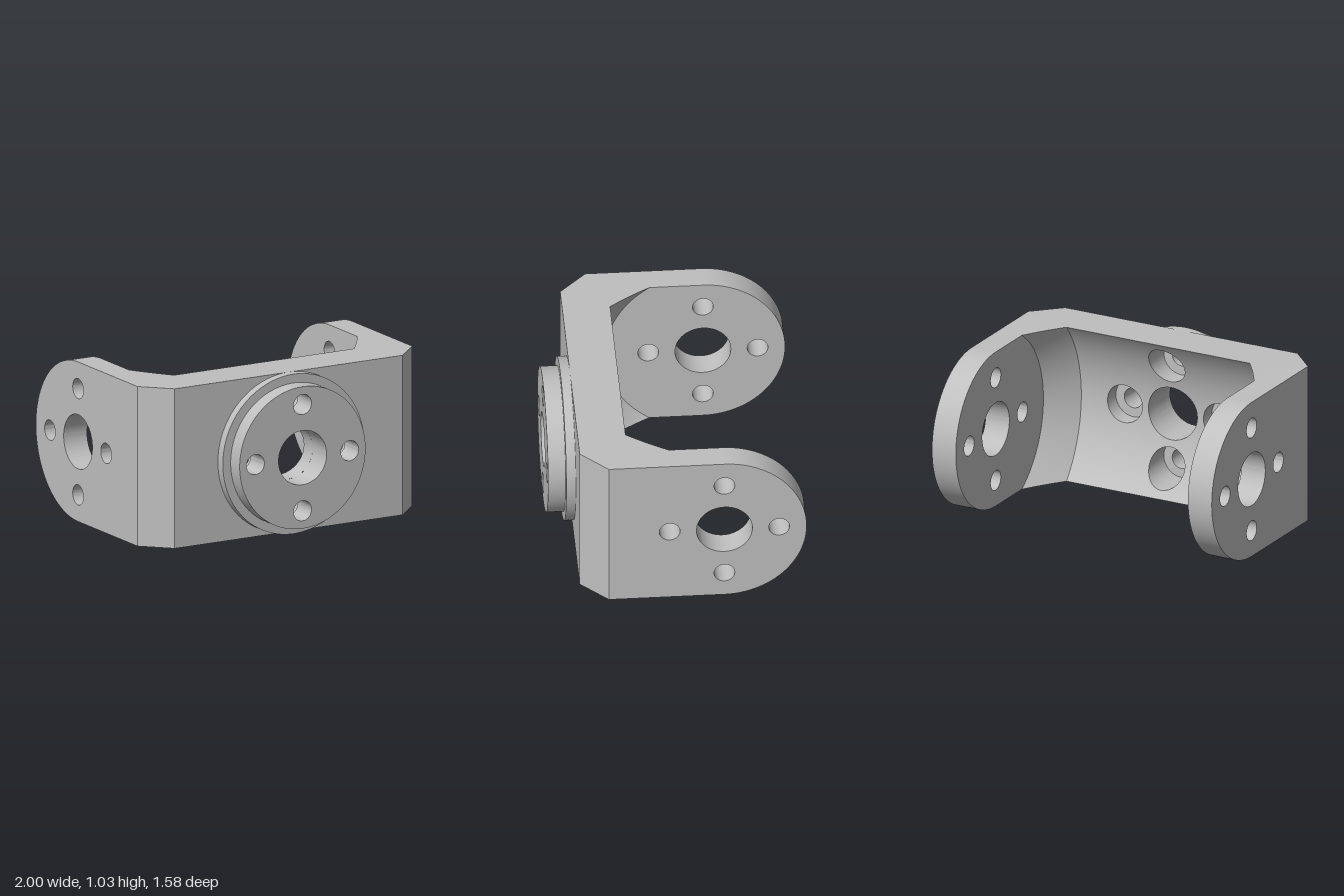
import * as THREE from 'three';
import { mergeGeometries, mergeVertices, toCreasedNormals } from 'three/addons/utils/BufferGeometryUtils.js';

// y is measured from mid-height H; the arms' pivot axis lies along x at z = PZ
const H = 0.515, PZ = -0.275, ARM = 0.83, WEB = 0.62, N = 12;
const R_WEB = 0.787, R_ARM = 0.614, X_CONE = 0.655;
const BIG = 0.175, SMALL = 0.065, BORE = 0.125, OFF = 0.343;

// inner scoop: a cylinder round the pivot axis with a cone at each end
const scoopZ = (x, y) => {
  const t = Math.max(0, (Math.abs(x) - X_CONE) / (ARM - X_CONE));
  const r = R_WEB + (R_ARM - R_WEB) * t;
  return PZ + Math.sqrt(r * r - y * y);
};

// grid surface from fn(u, v) -> [x, y, z], facing du x dv
function surface(fn, nu, nv) {
  const pos = [], idx = [];
  for (let j = 0; j <= nv; j++) for (let i = 0; i <= nu; i++) pos.push(...fn(i / nu, j / nv));
  for (let j = 0; j < nv; j++) for (let i = 0; i < nu; i++) {
    const a = j * (nu + 1) + i, d = a + nu + 1;
    idx.push(a, a + 1, d, a + 1, d + 1, d);
  }
  const g = new THREE.BufferGeometry();
  g.setAttribute('position', new THREE.Float32BufferAttribute(pos, 3));
  g.setIndex(idx);
  return g;
}

function smooth(list) {
  const g = mergeVertices(mergeGeometries(list));
  g.computeVertexNormals();
  return g;
}

const lerp = THREE.MathUtils.lerp;

// plain rectangular cell of the scoop
const cell = (x0, x1, y0, y1) => surface((u, v) => {
  const x = lerp(x0, x1, v), y = lerp(y0, y1, u);
  return [x, y, scoopZ(x, y)];
}, N, N);

// point on the cell's border (counterclockwise) and the hole point facing it
function rim(x0, x1, y0, y1, r, u) {
  const k = Math.round(u * 4 * N) % (4 * N), s = Math.floor(k / N), f = (k % N) / N;
  const c = [[x0, y0], [x1, y0], [x1, y1], [x0, y1]], p = c[s], q = c[(s + 1) % 4];
  const bx = lerp(p[0], q[0], f), by = lerp(p[1], q[1], f);
  const cx = (x0 + x1) / 2, cy = (y0 + y1) / 2, a = Math.atan2(by - cy, bx - cx);
  return { bx, by, hx: cx + r * Math.cos(a), hy: cy + r * Math.sin(a) };
}

// scoop cell pierced by a round hole
const holedCell = (x0, x1, y0, y1, r) => surface((u, v) => {
  const p = rim(x0, x1, y0, y1, r, u);
  const x = lerp(p.hx, p.bx, v), y = lerp(p.hy, p.by, v);
  return [x, y, scoopZ(x, y)];
}, 4 * N, 4);

// wall of that hole, up to the back of the flange
const holeWall = (x0, x1, y0, y1, r) => surface((u, v) => {
  const p = rim(x0, x1, y0, y1, r, u);
  return [p.hx, p.hy, lerp(WEB, scoopZ(p.hx, p.hy), v)];
}, 4 * N, 2);

// large centre hole with four small ones round it
function addHoles(shape, cx) {
  const hole = (x, y, r) => shape.holes.push(new THREE.Path().absarc(x, y, r, 0, Math.PI * 2, true));
  hole(cx, 0, BIG);
  for (const s of [-1, 1]) {
    hole(cx + s * OFF, 0, SMALL);
    hole(cx, s * OFF, SMALL);
  }
  return shape;
}

const extrude = (shape, depth) => toCreasedNormals(
  new THREE.ExtrudeGeometry(shape, { depth, bevelEnabled: false, curveSegments: 64 }), 0.5);

export function createModel() {
  const model = new THREE.Group();
  const body = new THREE.Group();
  body.name = 'bracket';
  body.position.y = H;
  model.add(body);

  const metal = new THREE.MeshStandardMaterial({ color: 0xbfbfbf });
  metal.name = 'greyMetal';
  const add = (name, geometry) => {
    const mesh = new THREE.Mesh(geometry, metal);
    mesh.name = name;
    body.add(mesh);
    return mesh;
  };

  // side arms with rounded ends and bolt holes
  const armShape = new THREE.Shape();
  armShape.moveTo(0.45, H);
  armShape.lineTo(PZ, H);
  armShape.absarc(PZ, 0, H, Math.PI / 2, Math.PI * 1.5, false);
  armShape.lineTo(0.45, -H);
  armShape.closePath();
  const armGeo = extrude(addHoles(armShape, PZ), 1 - ARM).rotateY(-Math.PI / 2);
  add('leftArm', armGeo).position.x = 1;
  add('rightArm', armGeo).position.x = -ARM;

  // bevelled outer corners
  for (const s of [-1, 1]) {
    const bevel = add(s > 0 ? 'leftCorner' : 'rightCorner', new THREE.PlaneGeometry(0.17 * Math.SQRT2, 2 * H));
    bevel.rotation.y = s * Math.PI / 4;
    bevel.position.set(s * (1 + ARM) / 2, 0, 0.535);
  }

  // web front face, open behind the flange
  const front = new THREE.Shape([[-ARM, -H], [ARM, -H], [ARM, H], [-ARM, H]].map(p => new THREE.Vector2(...p)));
  front.holes.push(new THREE.Path().absarc(0, 0, 0.5, 0, Math.PI * 2, true));
  add('webFront', new THREE.ShapeGeometry(front, 64)).position.z = WEB;

  // web top and bottom faces following the scoop edge
  const edge = [];
  for (let i = 0; i <= 8; i++) edge.push(lerp(ARM, X_CONE, i / 8));
  const outline = [[-ARM, WEB], [ARM, WEB], [1, 0.45], [ARM, 0.45]];
  edge.forEach(x => outline.push([x, scoopZ(x, H)]));
  edge.slice().reverse().forEach(x => outline.push([-x, scoopZ(x, H)]));
  outline.push([-ARM, 0.45], [-1, 0.45]);
  const capGeo = new THREE.ShapeGeometry(new THREE.Shape(outline.map(p => new THREE.Vector2(...p)))).rotateX(Math.PI / 2);
  add('webBottom', capGeo).position.y = -H;
  const top = add('webTop', capGeo);
  top.position.y = H;
  top.rotation.z = Math.PI;

  // scooped inner wall with the centre hole and four counterbores
  const xs = [-X_CONE, -0.49, -0.196, 0.196, 0.49, X_CONE];
  const ys = [-H, -0.49, -0.196, 0.196, 0.49, H];
  const wall = [], bores = [], cones = { left: [], right: [] };
  for (let j = 0; j < 5; j++) {
    for (let i = 0; i < 5; i++) {
      const box = [xs[i], xs[i + 1], ys[j], ys[j + 1]];
      const away = Math.abs(i - 2) + Math.abs(j - 2);
      if (away > 1) { wall.push(cell(...box)); continue; }
      const r = away === 0 ? BIG : BORE;
      wall.push(holedCell(...box, r));
      bores.push(holeWall(...box, r));
    }
    cones.left.push(cell(X_CONE, ARM, ys[j], ys[j + 1]));
    cones.right.push(cell(-ARM, -X_CONE, ys[j], ys[j + 1]));
  }
  add('innerWall', smooth(wall));
  add('counterbores', smooth(bores));
  add('leftInnerCone', smooth(cones.left));
  add('rightInnerCone', smooth(cones.right));

  // stepped round mounting boss
  const disc = r => addHoles(new THREE.Shape().absarc(0, 0, r, 0, Math.PI * 2, false), 0);
  add('flange', extrude(disc(H), 0.06)).position.z = WEB;
  add('boss', extrude(disc(0.458), 0.11)).position.z = WEB + 0.06;

  return model;
}
